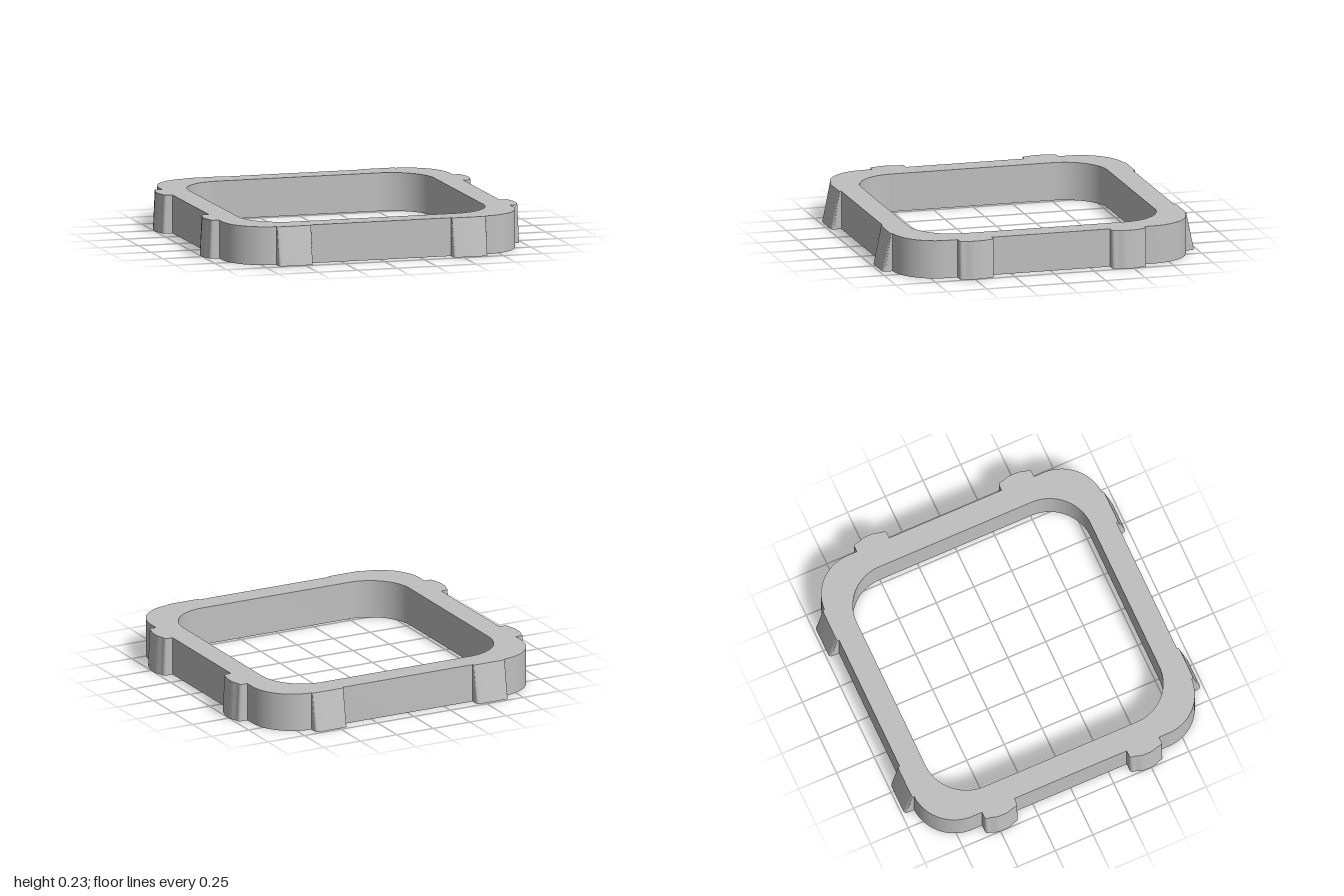
import * as THREE from 'three';
import { toCreasedNormals } from 'three/addons/utils/BufferGeometryUtils.js';

const HEIGHT = 0.235;
const OUTER = 0.92; // half width of the frame
const INNER = 0.775; // half width of the opening
const RADIUS = 0.27;

// Rounded square outline, usable as a shape or as a hole
function roundedSquare(path, h, r) {
  const c = h - r;
  path.absarc(c, c, r, 0, Math.PI / 2);
  path.absarc(-c, c, r, Math.PI / 2, Math.PI);
  path.absarc(-c, -c, r, Math.PI, Math.PI * 1.5);
  path.absarc(c, -c, r, Math.PI * 1.5, Math.PI * 2);
  path.closePath();
  return path;
}

// Upright extrusion; shape y becomes -z
function extrudeUp(shape, curveSegments) {
  const geo = new THREE.ExtrudeGeometry(shape, { depth: HEIGHT, bevelEnabled: false, curveSegments });
  return geo.rotateX(-Math.PI / 2);
}

// Lug that leans back towards the frame: its projection shrinks by topScale at the top
function lugGeometry(shape, topScale) {
  const geo = extrudeUp(shape, 8);
  const pos = geo.attributes.position;
  for (let i = 0; i < pos.count; i++) {
    const out = -pos.getZ(i);
    const k = THREE.MathUtils.lerp(1, topScale, pos.getY(i) / HEIGHT);
    if (out > 0) pos.setZ(i, -out * k);
  }
  return toCreasedNormals(geo, 0.6);
}

// Plain lug outline with softened corners
function plainLug() {
  const w = 0.1075, d = 0.063, r = 0.025, s = new THREE.Shape();
  s.moveTo(-w, -0.02);
  s.lineTo(w, -0.02);
  s.lineTo(w, d - r);
  s.quadraticCurveTo(w, d, w - r, d);
  s.lineTo(-w + r, d);
  s.quadraticCurveTo(-w, d, -w, d - r);
  s.closePath();
  return s;
}

// Side lug outline: two shoulders and a raised middle
function crownedLug() {
  const w = 0.1075, s = new THREE.Shape();
  s.moveTo(-w, -0.02);
  s.lineTo(w, -0.02);
  s.lineTo(w, 0.04);
  s.quadraticCurveTo(w, 0.06, w - 0.02, 0.062);
  s.bezierCurveTo(0.06, 0.064, 0.05, 0.08, 0.02, 0.08);
  s.lineTo(-0.02, 0.08);
  s.bezierCurveTo(-0.05, 0.08, -0.06, 0.064, -w + 0.02, 0.062);
  s.quadraticCurveTo(-w, 0.06, -w, 0.04);
  s.closePath();
  return s;
}

export function createModel() {
  const group = new THREE.Group();
  const grey = new THREE.MeshStandardMaterial({ color: 0xc0c0c0 });
  grey.name = 'plain grey';

  // Frame ring
  const outline = roundedSquare(new THREE.Shape(), OUTER, RADIUS);
  outline.holes.push(roundedSquare(new THREE.Path(), INNER, RADIUS));
  const frame = new THREE.Mesh(toCreasedNormals(extrudeUp(outline, 24), 0.6), grey);
  frame.name = 'frame';
  group.add(frame);

  // Two lugs on every side
  const plain = lugGeometry(plainLug(), 0.2);
  const crowned = lugGeometry(crownedLug(), 0.82);
  ['back', 'right', 'front', 'left'].forEach((name, i) => {
    const onSide = i % 2 === 1;
    const side = new THREE.Group();
    side.name = name + 'Lugs';
    side.rotation.y = i * Math.PI / 2;
    for (const s of [-1, 1]) {
      const lug = new THREE.Mesh(onSide ? crowned : plain, grey);
      lug.name = name + 'Lug';
      lug.position.set(s * (onSide ? 0.48 : 0.5525), 0, -OUTER);
      side.add(lug);
    }
    group.add(side);
  });
  return group;
}
